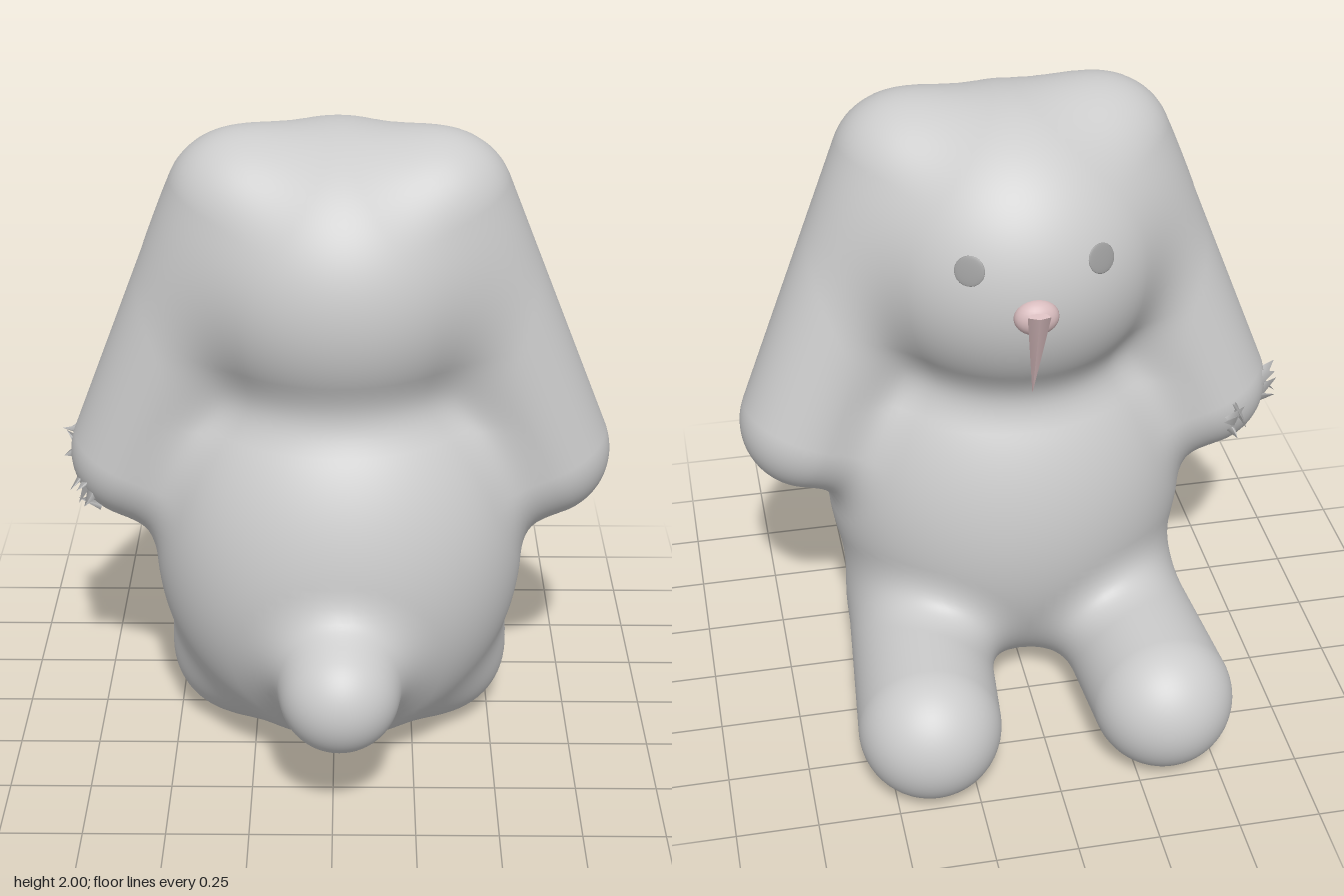
import * as THREE from 'three';

const V = (x, y, z) => new THREE.Vector3(x, y, z);
const BLEND = 0.14;

// Ellipsoid part: distance rule plus matching sphere geometry
function ellipsoid(name, c, r) {
  const dist = (p) => {
    const q = p.clone().sub(c).divide(r);
    const k0 = q.length();
    return (k0 * (k0 - 1)) / Math.max(q.divide(r).length(), 1e-6);
  };
  const geo = new THREE.SphereGeometry(1, 96, 72).scale(r.x, r.y, r.z).translate(c.x, c.y, c.z);
  return { name, dist, geo };
}

// Capsule part between two points
function capsule(name, a, b, r) {
  const ab = b.clone().sub(a);
  const dist = (p) => {
    const t = THREE.MathUtils.clamp(p.clone().sub(a).dot(ab) / ab.lengthSq(), 0, 1);
    return p.distanceTo(a.clone().addScaledVector(ab, t)) - r;
  };
  const turn = new THREE.Quaternion().setFromUnitVectors(V(0, 1, 0), ab.clone().normalize());
  const mid = a.clone().add(b).multiplyScalar(0.5);
  const geo = new THREE.CapsuleGeometry(r, ab.length(), 20, 56, 36)
    .applyQuaternion(turn).translate(mid.x, mid.y, mid.z);
  return { name, dist, geo };
}

// Rounded union of two distances
function smoothMin(a, b) {
  const h = Math.max(BLEND - Math.abs(a - b), 0) / BLEND;
  return Math.min(a, b) - h * h * BLEND * 0.25;
}

export function createModel() {
  const model = new THREE.Group();
  model.name = 'floppyEaredRabbit';
  const grey = new THREE.MeshStandardMaterial({ color: 0xcccccc });
  const pink = new THREE.MeshStandardMaterial({ color: 0xd8bcbe, side: THREE.DoubleSide });
  const dark = new THREE.MeshStandardMaterial({ color: 0x9c9c9c });
  const shard = new THREE.MeshStandardMaterial({ color: 0xcccccc, side: THREE.DoubleSide });

  const parts = [
    ellipsoid('body', V(0.015, 0.665, 0.1), V(0.57, 0.665, 0.505)),
    ellipsoid('head', V(0.01, 1.53, 0.04), V(0.47, 0.465, 0.47)),
    capsule('leftEar', V(0.315, 1.775, 0.1), V(0.64, 0.95, 0.035), 0.212),
    capsule('rightEar', V(-0.285, 1.775, 0.1), V(-0.605, 0.94, 0.04), 0.212),
    capsule('leftLeg', V(0.33, 0.22, 0), V(0.383, 0.22, -0.62), 0.218),
    capsule('rightLeg', V(-0.3, 0.22, 0), V(-0.345, 0.22, -0.62), 0.218),
    capsule('tail', V(0.02, 0.44, 0.48), V(0.02, 0.44, 0.65), 0.18),
  ];

  const field = (p) => parts.reduce((d, part) => smoothMin(d, part.dist(p)), 10);
  const gradient = (p) => {
    const e = 0.002;
    const slope = (x, y, z) => field(V(p.x + x, p.y + y, p.z + z)) - field(V(p.x - x, p.y - y, p.z - z));
    return V(slope(e, 0, 0), slope(0, e, 0), slope(0, 0, e)).normalize();
  };

  // Pull each part out to the shared skin so all joins are soft fillets
  for (const { name, geo } of parts) {
    const pos = geo.attributes.position;
    const nor = geo.attributes.normal;
    const p = V(0, 0, 0);
    for (let i = 0; i < pos.count; i++) {
      p.fromBufferAttribute(pos, i);
      if (field(p) < -0.1) continue; // buried inside another part
      for (let k = 0; k < 4; k++) {
        const f = field(p);
        if (Math.abs(f) < 0.001) break;
        p.addScaledVector(gradient(p), -f);
      }
      const n = gradient(p);
      pos.setXYZ(i, p.x, THREE.MathUtils.clamp(p.y, 0, 2), p.z);
      nor.setXYZ(i, n.x, n.y, n.z);
    }
    const mesh = new THREE.Mesh(geo, grey);
    mesh.name = name;
    model.add(mesh);
  }

  const add = (name, geo, mat, at) => {
    const mesh = new THREE.Mesh(geo, mat);
    mesh.name = name;
    mesh.position.copy(at);
    model.add(mesh);
    return mesh;
  };
  const up = V(0, 1, 0);

  // Eyes: shallow darker discs lying on the face
  for (const s of [1, -1]) {
    const dir = V(s * 0.19, 0.125, -0.41).normalize();
    const at = V(0.01, 1.53, 0.04).addScaledVector(dir, 0.468);
    const eye = add(s > 0 ? 'leftEye' : 'rightEye', new THREE.SphereGeometry(0.045, 24, 16).scale(1, 0.12, 1), dark, at);
    eye.quaternion.setFromUnitVectors(up, dir);
  }

  // Nose: low mound, with the thin pointed sliver hanging from it
  add('nose', new THREE.SphereGeometry(0.06, 24, 16).scale(1.1, 0.9, 0.75), pink, V(0.02, 1.52, -0.43));
  const top = V(0.025, 1.56, -0.495), tip = V(0.02, 1.23, -0.38);
  const spike = add('noseSliver', new THREE.ConeGeometry(0.035, top.distanceTo(tip), 5).scale(1, 1, 0.35), pink,
    top.clone().add(tip).multiplyScalar(0.5));
  spike.quaternion.setFromUnitVectors(up, tip.clone().sub(top).normalize());

  // Ragged tufts around the tip of the right ear
  const earTip = V(-0.605, 0.94, 0.04);
  const tufts = [V(-1, 0.0, -0.3), V(-0.35, -0.2, -1), V(-0.8, -0.5, 0.6)];
  tufts.forEach((dir, t) => {
    for (let i = 0; i < 5; i++) {
      const a = i * 1.9 + t;
      const d = dir.clone().normalize().add(V(0.12 * Math.cos(a), 0.2 * Math.sin(a), 0.16 * Math.sin(a * 2))).normalize();
      const lean = d.clone().add(V(0, 0.9 * Math.cos(a), 0.9 * Math.sin(a))).normalize();
      const tuft = add('earTuft', new THREE.ConeGeometry(0.03, 0.075, 3).scale(1, 1, 0.4), shard,
        earTip.clone().addScaledVector(d, 0.222));
      tuft.quaternion.setFromUnitVectors(up, lean);
    }
  });
  return model;
}
